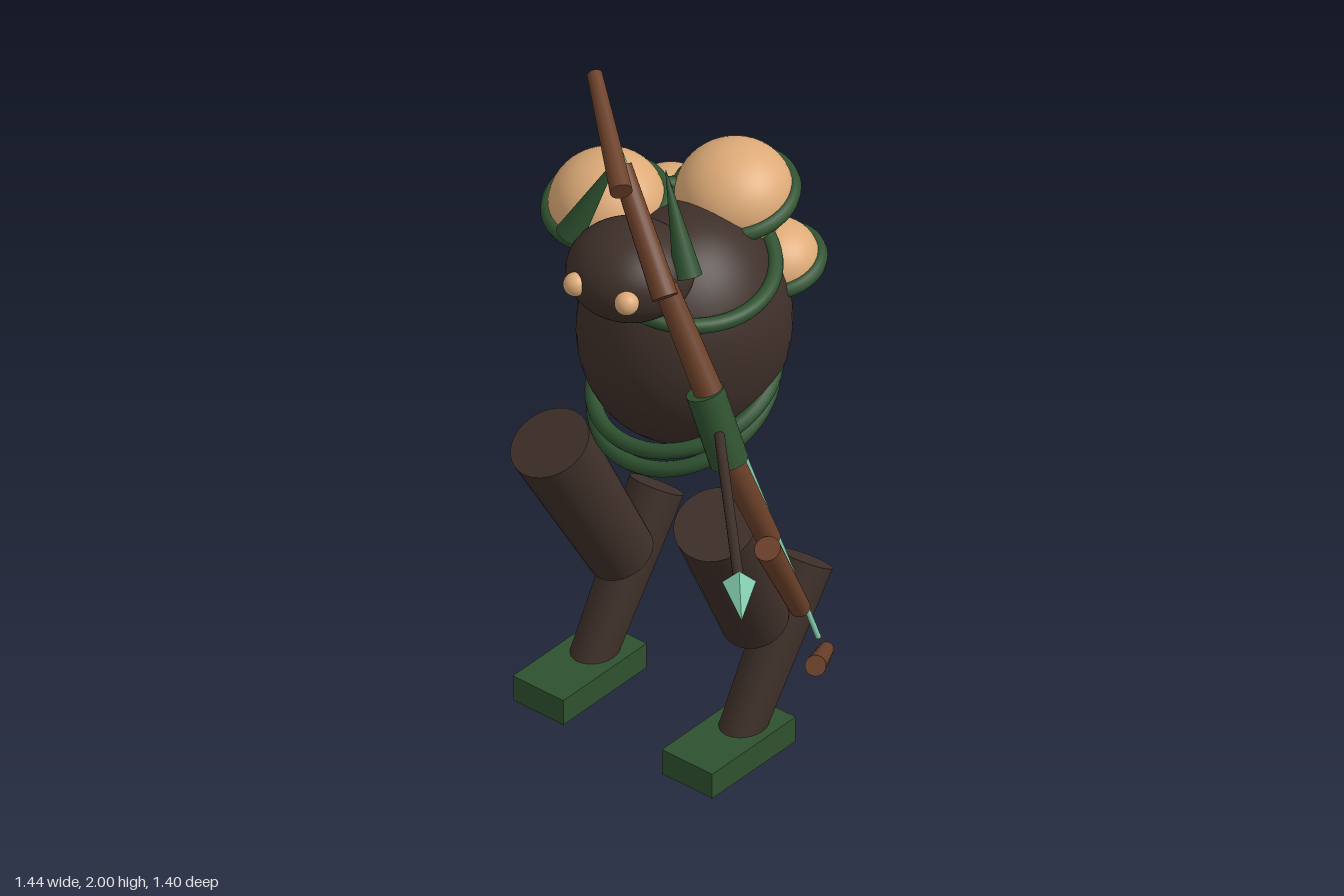
import * as THREE from 'three';

const mat = (name, color) => {
  const m = new THREE.MeshStandardMaterial({ color });
  m.name = name;
  return m;
};

export function createModel() {
  const model = new THREE.Group();
  model.name = 'hornedArcher';
  const bark = mat('darkBark', 0x3e2f29);
  const wood = mat('bowWood', 0x6b4029);
  const leaf = mat('leafGreen', 0x2f5230);
  const peach = mat('peach', 0xdeab78);
  const mint = mat('mint', 0x7fc8a9);

  const add = (name, geometry, material, pos = [0, 0, 0], parent = model) => {
    const mesh = new THREE.Mesh(geometry, material);
    mesh.name = name;
    mesh.position.set(...pos);
    parent.add(mesh);
    return mesh;
  };

  // Tapered rod from a (radius ra) to b (radius rb)
  const rod = (name, a, b, ra, rb, material, sides = 20) => {
    const A = new THREE.Vector3(...a), B = new THREE.Vector3(...b);
    const dir = B.clone().sub(A);
    const mesh = add(name, new THREE.CylinderGeometry(rb, ra, dir.length(), sides), material);
    mesh.position.copy(A).add(B).multiplyScalar(0.5);
    mesh.quaternion.setFromUnitVectors(new THREE.Vector3(0, 1, 0), dir.normalize());
    return mesh;
  };

  const ball = (name, pos, r, material) => {
    const mesh = add(name, new THREE.SphereGeometry(1, 40, 28), material, pos);
    mesh.scale.set(...r);
    return mesh;
  };

  // Horizontal vine ring, then tilted
  const ring = (name, pos, radius, tube, rx, rz = 0) => {
    const g = new THREE.TorusGeometry(radius, tube, 12, 56).rotateX(Math.PI / 2);
    const mesh = add(name, g, leaf, pos);
    mesh.rotation.set(rx, 0, rz);
    return mesh;
  };

  // Body with neck vine and belt vines
  ball('body', [-0.335, 1.125, -0.325], [0.25, 0.315, 0.28], bark).rotation.x = 0.15;
  ring('neckVine', [-0.33, 1.335, -0.31], 0.228, 0.02, 0.08, -0.25);
  ring('upperBeltVine', [-0.335, 0.97, -0.325], 0.232, 0.02, 0.4, 0.05);
  ring('lowerBeltVine', [-0.345, 0.92, -0.335], 0.232, 0.02, 0.5, 0.06);

  // Head, eyes and horns
  ball('head', [-0.284, 1.45, -0.063], [0.158, 0.116, 0.156], bark).rotation.y = 0.15;
  ball('rightEye', [-0.336, 1.46, 0.082], [0.03, 0.03, 0.03], peach);
  ball('leftEye', [-0.19, 1.46, 0.062], [0.03, 0.03, 0.03], peach);
  rod('rightHorn', [-0.462, 1.48, -0.045], [-0.362, 1.725, -0.115], 0.036, 0.001, leaf);
  rod('leftHorn', [-0.132, 1.48, -0.098], [-0.236, 1.725, -0.138], 0.036, 0.001, leaf);

  // Fungus caps on shoulder and back: x, y, z, radius
  [
    [-0.56, 1.395, -0.3, 0.143],
    [-0.35, 1.395, -0.528, 0.145],
    [-0.25, 1.225, -0.562, 0.11],
    [-0.395, 1.11, -0.578, 0.11],
    [-0.52, 1.295, -0.488, 0.115],
  ].forEach(([x, y, z, r], i) => {
    const cap = ball('fungusCap' + (i + 1), [x, y, z], [r, r * 0.87, r], peach);
    cap.rotation.x = 0.22;
    ring('fungusRim' + (i + 1), [x, y - 0.005, z], r, 0.02, 0.22);
  });

  // Legs, mirrored about the body axis
  for (const [side, s] of [['right', -1], ['left', 1]]) {
    const x = (d) => -0.335 + s * d;
    rod(side + 'Thigh', [x(0.262), 0.75, -0.13], [x(0.212), 0.335, -0.337], 0.103, 0.085, bark, 28);
    rod(side + 'Shin', [x(0.236), 0.435, -0.5], [x(0.236), 0.04, -0.248], 0.07, 0.056, bark, 28);
    add(side + 'Foot', new THREE.BoxGeometry(0.16, 0.072, 0.312), leaf, [x(0.236), 0.036, -0.212]);
  }

  // Bow: start, end, start radius, end radius
  [
    [[-0.395, 1.98, -0.06], [-0.13, 1.87, 0.153], 0.019, 0.028],
    [[-0.257, 1.805, 0.003], [-0.04, 1.565, 0.095], 0.026, 0.033],
    [[-0.088, 1.55, 0.04], [0.06, 1.27, 0.036], 0.03, 0.037],
    [[0.088, 1.13, 0.025], [0.132, 0.825, -0.09], 0.037, 0.03],
    [[0.178, 0.85, -0.03], [0.13, 0.555, -0.208], 0.033, 0.026],
    [[0.288, 0.525, -0.08], [0.108, 0.352, -0.332], 0.026, 0.019],
  ].forEach(([a, b, ra, rb], i) => rod('bowLimb' + (i + 1), a, b, ra, rb, wood));
  rod('bowGrip', [0.042, 1.295, 0.043], [0.105, 1.105, 0.026], 0.048, 0.048, leaf);
  rod('bowString', [-0.323, 1.92, -0.012], [0.134, 0.432, -0.273], 0.007, 0.007, mint, 8);

  // Arrow
  rod('arrowShaft', [-0.088, 1.18, -0.135], [0.588, 1.265, 0.56], 0.013, 0.013, bark, 12);
  const tip = new THREE.Group();
  tip.name = 'arrowHead';
  tip.position.set(0.65, 1.274, 0.628);
  tip.lookAt(0.715, 1.284, 0.7);
  model.add(tip);
  const cone = new THREE.ConeGeometry(0.041, 0.19, 4).toNonIndexed();
  cone.computeVertexNormals();
  cone.rotateX(Math.PI / 2).scale(1, 0.7, 1);
  cone.computeVertexNormals();
  add('arrowPoint', cone, mint, [0, 0, 0], tip);

  return model;
}
